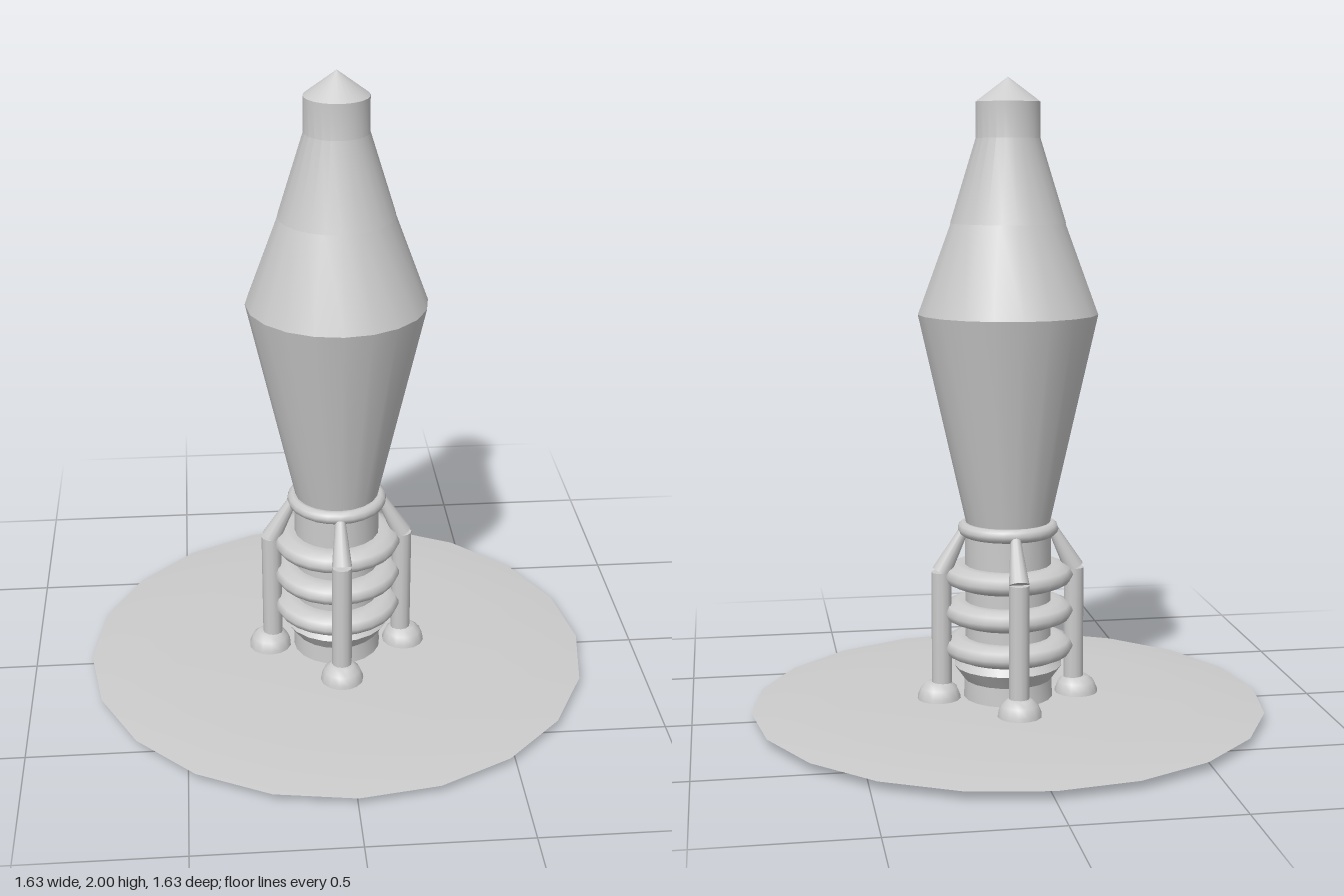
import * as THREE from 'three';
import { toCreasedNormals } from 'three/addons/utils/BufferGeometryUtils.js';

const material = new THREE.MeshStandardMaterial({ color: 0xcccccc, side: THREE.DoubleSide });

// Turned part from [radius, height] pairs, with crisp profile corners
function turned(name, profile, sides = 20, crease = 0.35) {
  const points = profile.map(([r, y]) => new THREE.Vector2(r, y));
  const geometry = toCreasedNormals(new THREE.LatheGeometry(points, sides), crease);
  const mesh = new THREE.Mesh(geometry, material);
  mesh.name = name;
  return mesh;
}

// Horizontal ring with an elliptical section
function ring(name, y, radius, width, height) {
  const geometry = new THREE.TorusGeometry(radius, width, 10, 24);
  geometry.rotateX(Math.PI / 2);
  geometry.scale(1, height / width, 1);
  const mesh = new THREE.Mesh(geometry, material);
  mesh.position.y = y;
  mesh.name = name;
  return mesh;
}

// Support leg: domed foot, upright post and tapered brace leaning inwards
function supportLeg() {
  const leg = new THREE.Group();
  leg.name = 'supportLeg';

  const foot = turned('foot', [[0.07, 0.04], [0.068, 0.06], [0.058, 0.085], [0.038, 0.102], [0, 0.105]], 14, 0.7);
  foot.position.x = 0.222;

  const outline = [[0.213, 0.05, 0.032], [0.213, 0.46, 0.032], [0.143, 0.59, 0.016]];
  const names = ['post', 'brace'];
  names.forEach((name, i) => {
    const [x0, y0, r0] = outline[i];
    const [x1, y1, r1] = outline[i + 1];
    const length = Math.hypot(x1 - x0, y1 - y0);
    const mesh = new THREE.Mesh(new THREE.CylinderGeometry(r1, r0, length, 12), material);
    mesh.position.set((x0 + x1) / 2, (y0 + y1) / 2, 0);
    mesh.rotation.z = Math.atan2(x0 - x1, y1 - y0);
    mesh.name = name;
    leg.add(mesh);
  });
  leg.add(foot);
  return leg;
}

export function createModel() {
  const model = new THREE.Group();
  model.name = 'tower';

  // Thin lens-shaped ground disc
  model.add(turned('baseDisc', [
    [0, 0], [0.3, 0.003], [0.55, 0.009], [0.72, 0.016], [0.815, 0.027],
    [0.72, 0.037], [0.55, 0.044], [0.3, 0.049], [0, 0.052],
  ]));

  // Central column with its flared lowest collar
  model.add(turned('column', [
    [0, 0.04], [0.143, 0.04], [0.14, 0.11], [0.172, 0.155], [0.137, 0.2], [0.137, 0.61], [0, 0.61],
  ]));

  // Cooling rings and upper collar
  for (const y of [0.215, 0.33, 0.447]) model.add(ring('coolingRing', y, 0.147, 0.06, 0.036));
  model.add(ring('collar', 0.596, 0.138, 0.022, 0.022));

  // Main hull and nose
  model.add(turned('hull', [[0, 0.6], [0.13, 0.6], [0.282, 1.275], [0.177, 1.56], [0, 1.56]]));
  model.add(turned('nose', [
    [0, 1.555], [0.18, 1.555], [0.1, 1.815], [0.1, 1.925], [0, 2],
  ], 24));

  // Four legs around the column
  for (let i = 0; i < 4; i++) {
    const leg = supportLeg();
    leg.rotation.y = (i * Math.PI) / 2;
    model.add(leg);
  }
  return model;
}
